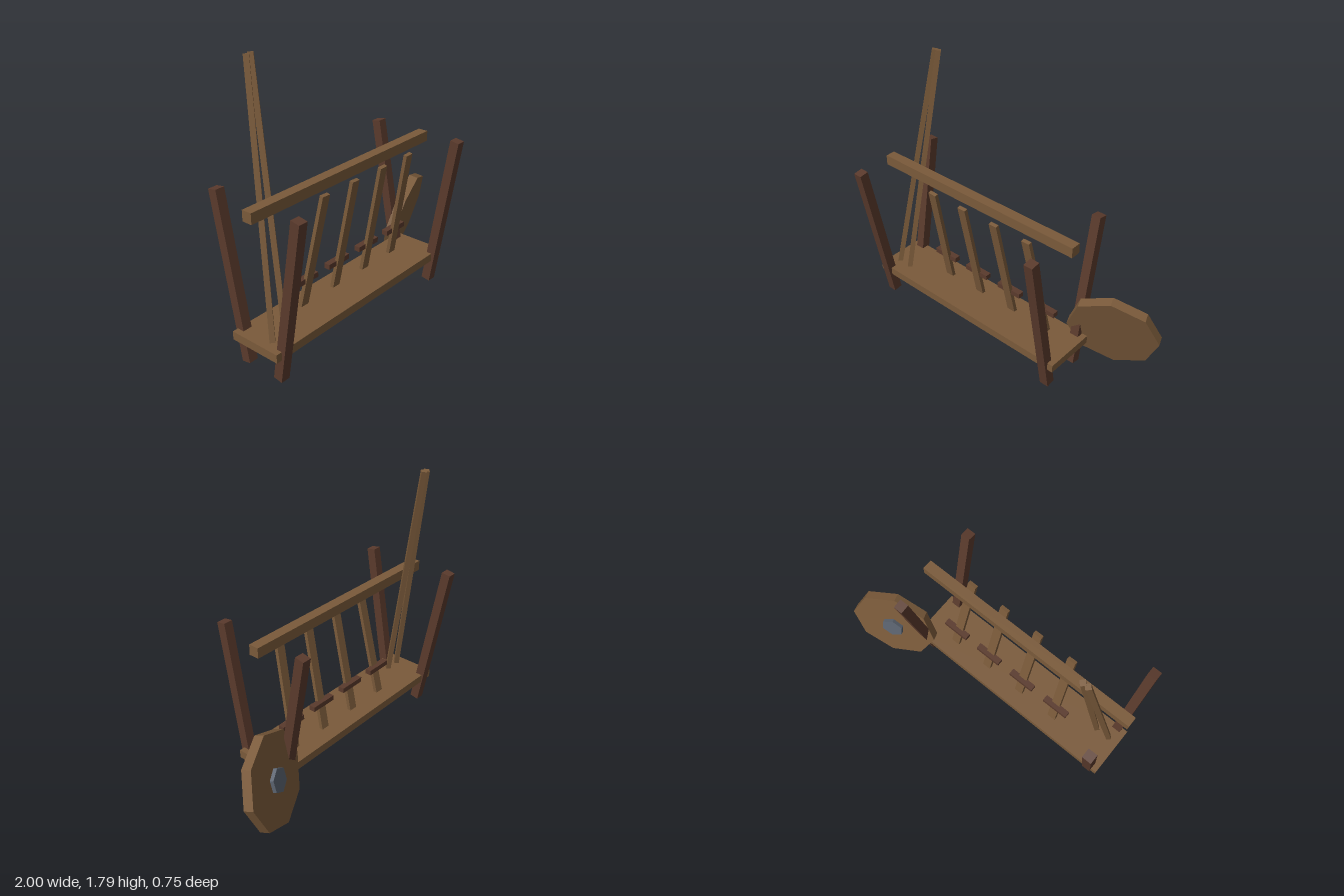
import * as THREE from 'three';

const material = (name, color) => {
  const m = new THREE.MeshStandardMaterial({ color });
  m.name = name;
  return m;
};

export function createModel() {
  const model = new THREE.Group();
  model.name = 'weaponRack';
  const wood = material('wood', 0x7a5a3a);
  const darkWood = material('darkWood', 0x5a3a2c);
  const iron = material('iron', 0x5a626e);

  const add = (name, geometry, mat, x, y, z, parent = model) => {
    const mesh = new THREE.Mesh(geometry, mat);
    mesh.name = name;
    mesh.position.set(x, y, z);
    parent.add(mesh);
    return mesh;
  };
  const box = (name, mat, w, h, d, x, y, z) =>
    add(name, new THREE.BoxGeometry(w, h, d), mat, x, y, z);

  // Stands an upright part between two points
  const span = (mesh, from, to) => {
    const a = new THREE.Vector3(...from), b = new THREE.Vector3(...to);
    mesh.position.copy(a).add(b).multiplyScalar(0.5);
    mesh.quaternion.setFromUnitVectors(new THREE.Vector3(0, 1, 0), b.sub(a).normalize());
  };

  // Frame: four splayed posts, a shelf and a top rail
  for (const x of [-0.93, 0.49]) {
    box('frontPost', darkWood, 0.062, 1.07, 0.062, x, 0.532, 0.25).rotation.x = 0.173;
    box('backPost', darkWood, 0.062, 1.07, 0.062, x, 0.532, -0.193).rotation.x = -0.173;
  }
  box('shelf', wood, 1.56, 0.055, 0.355, -0.22, 0.188, 0.023);
  box('topRail', wood, 1.56, 0.068, 0.068, -0.22, 1.005, 0.03);

  // Row of leaning swords with crossguards
  const swords = [[-0.54, -0.5], [-0.255, -0.244], [0.03, 0.016], [0.312, 0.272]];
  for (const [bottomX, topX] of swords) {
    const blade = box('swordBlade', wood, 0.06, 0.79, 0.025, 0, 0, 0);
    span(blade, [bottomX, 0.205, -0.038], [topX, 0.985, 0.125]);
    box('swordGuard', darkWood, 0.185, 0.034, 0.042, bottomX, 0.4, -0.015);
  }

  // Two tall square shafts leaning at the right end
  for (const [bottomX, topX] of [[-0.925, -0.742], [-0.825, -0.711]]) {
    const shaft = add('spearShaft', new THREE.CylinderGeometry(0.023, 0.023, 1.615, 4).toNonIndexed(), wood, 0, 0, 0);
    shaft.geometry.computeVertexNormals();
    span(shaft, [bottomX, 0.2, 0.093], [topX, 1.791, -0.187]);
  }

  // Eight-sided shield tilted against the left end, boss facing back
  const shield = new THREE.Group();
  shield.name = 'shield';
  const normal = new THREE.Vector3(0.328, -0.247, 0.911).normalize();
  const up = new THREE.Vector3(0.03, 0.575, 0.145).normalize();
  const side = new THREE.Vector3().crossVectors(normal, up).normalize();
  up.crossVectors(side, normal);
  shield.quaternion.setFromRotationMatrix(new THREE.Matrix4().makeBasis(side, normal, up));
  shield.position.set(0.705, 0.307, -0.226);
  model.add(shield);
  const facetedDisc = (radius, depth, sides) => {
    const g = new THREE.CylinderGeometry(radius, radius, depth, sides).toNonIndexed();
    g.computeVertexNormals();
    return g;
  };
  add('shieldBoard', facetedDisc(0.3, 0.062, 8), wood, 0, 0, 0, shield);
  add('shieldBoss', facetedDisc(0.08, 0.05, 6), iron, 0, -0.03, 0, shield);

  return model;
}
